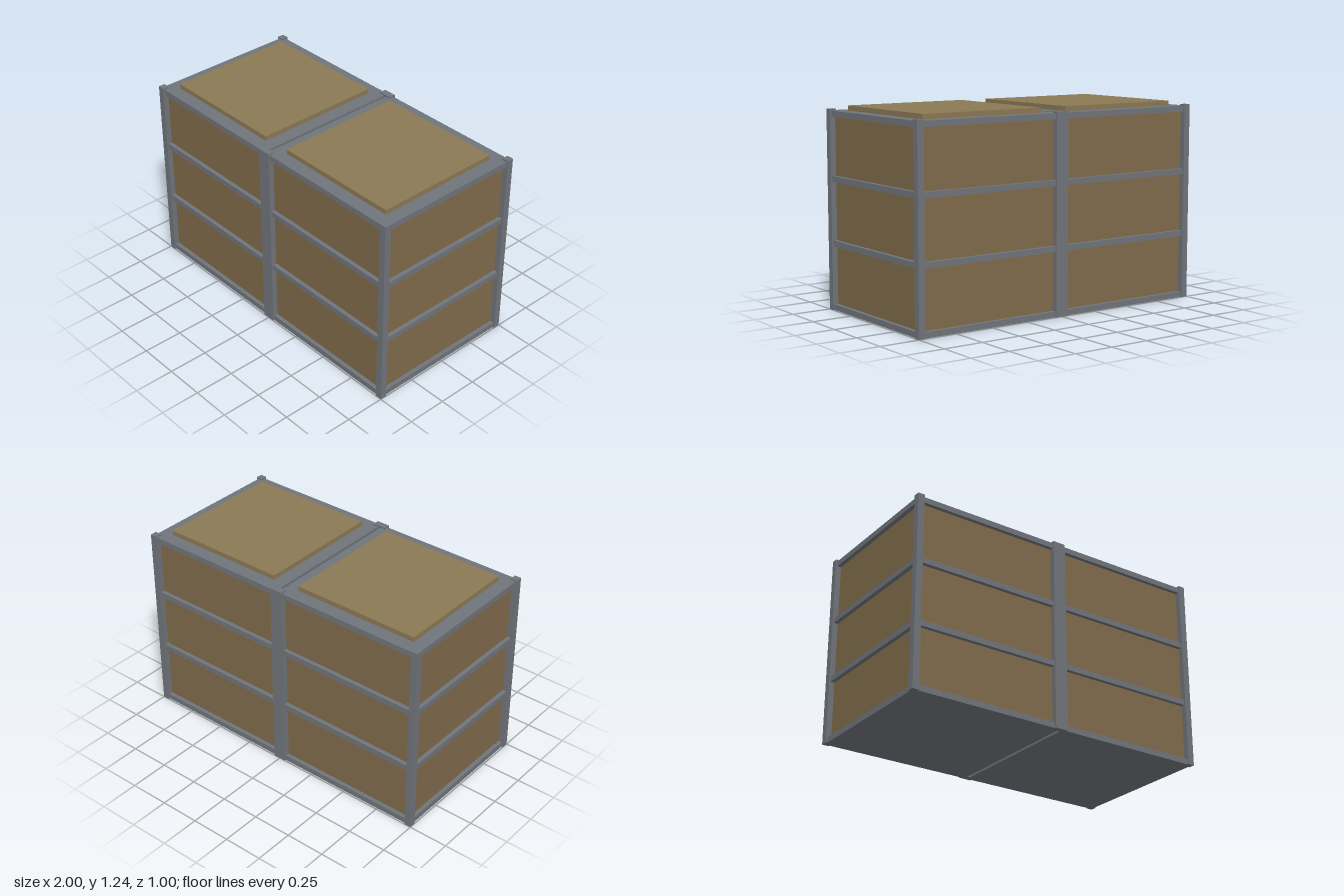
import * as THREE from 'three';

const steel = new THREE.MeshStandardMaterial({ color: 0x70757b });
const wood = new THREE.MeshStandardMaterial({ color: 0x806b4b });
const lidWood = new THREE.MeshStandardMaterial({ color: 0x8b7955 });

// Box standing on height y
function box(parent, name, material, w, h, d, x, y, z) {
  const mesh = new THREE.Mesh(new THREE.BoxGeometry(w, h, d), material);
  mesh.name = name;
  mesh.position.set(x, y + h / 2, z);
  parent.add(mesh);
}

function createCrate() {
  const crate = new THREE.Group();

  // Wooden body, set back behind the frame
  box(crate, 'panelBody', wood, 0.93, 1.18, 0.93, 0, 0.01, 0);

  // Steel bands: base, two middle bands and the top plate
  ['baseBand', 'lowerBand', 'upperBand', 'topPlate'].forEach((name, i) =>
    box(crate, name, steel, 0.98, 0.035, 0.98, 0, i * 0.39, 0));

  // Corner posts
  for (const sx of [-1, 1]) {
    for (const sz of [-1, 1]) {
      box(crate, 'cornerPost', steel, 0.042, 1.215, 0.042, sx * 0.479, 0, sz * 0.479);
    }
  }

  // Raised lid
  box(crate, 'lid', lidWood, 0.814, 0.035, 0.814, 0, 1.2, 0);
  return crate;
}

export function createModel() {
  const model = new THREE.Group();
  model.name = 'cratePair';

  // Two crates side by side
  for (const side of [-1, 1]) {
    const crate = createCrate();
    crate.name = side > 0 ? 'leftCrate' : 'rightCrate';
    crate.position.x = side * 0.5;
    model.add(crate);
  }
  return model;
}
